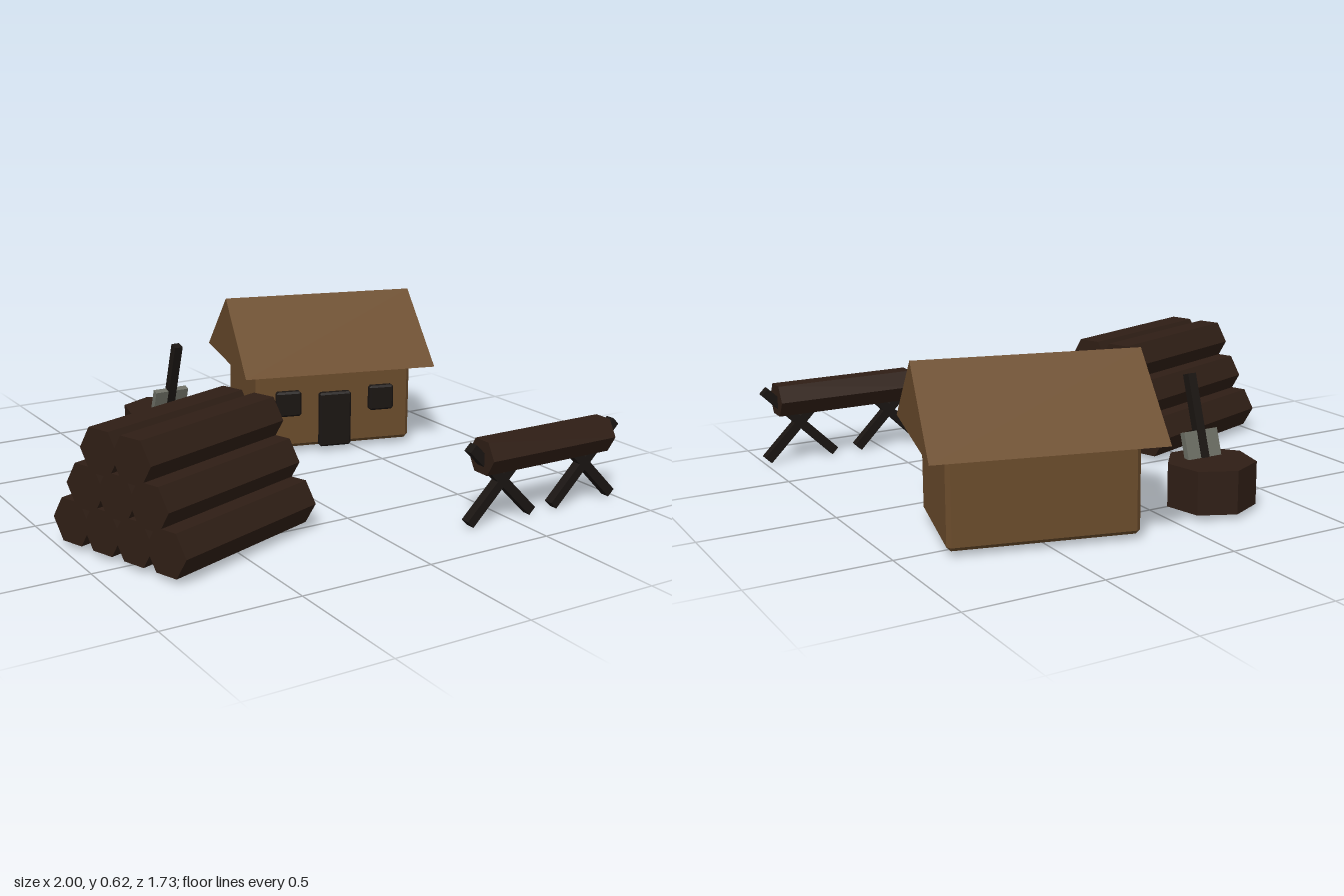
import * as THREE from 'three';
import { ConvexGeometry } from 'three/addons/geometries/ConvexGeometry.js';

const mat = (color) => new THREE.MeshStandardMaterial({ color, flatShading: true });
const BROWN = mat(0x6b4c2c), LOG = mat(0x2f1e15), DARK = mat(0x1a1512), STEEL = mat(0x6c6e64);

function add(parent, name, geometry, material, x = 0, y = 0, z = 0) {
  const mesh = new THREE.Mesh(geometry, material);
  mesh.name = name;
  mesh.position.set(x, y, z);
  parent.add(mesh);
  return mesh;
}

function subgroup(parent, name, x, z, turn = 0) {
  const g = new THREE.Group();
  g.name = name;
  g.position.set(x, 0, z);
  g.rotation.y = THREE.MathUtils.degToRad(turn);
  parent.add(g);
  return g;
}

// Box with all edges and corners cut by c
function chamferBox(w, h, d, c) {
  const pts = [];
  for (const sx of [-1, 1]) for (const sy of [-1, 1]) for (const sz of [-1, 1]) {
    for (let axis = 0; axis < 3; axis++) {
      const inset = [c, c, c];
      inset[axis] = 0;
      pts.push(new THREE.Vector3(sx * (w / 2 - inset[0]), sy * (h / 2 - inset[1]), sz * (d / 2 - inset[2])));
    }
  }
  return new ConvexGeometry(pts);
}

// Six-sided log lying along x, flat side up
const hexLog = (r, length) => new THREE.CylinderGeometry(r, r, length, 6).rotateZ(Math.PI / 2);

function buildCabin(parent) {
  const cabin = subgroup(parent, 'cabin', 0.4625, -0.441, -15);
  add(cabin, 'walls', chamferBox(0.664, 0.335, 0.466, 0.015), BROWN, 0, 0.1875, 0);

  // Gable roof: triangle extruded along the ridge
  const gable = new THREE.Shape();
  gable.moveTo(-0.331, 0.35);
  gable.lineTo(0.331, 0.35);
  gable.lineTo(0, 0.615);
  gable.closePath();
  const roof = new THREE.ExtrudeGeometry(gable, { depth: 0.802, bevelEnabled: false });
  roof.translate(0, 0, -0.401).rotateY(Math.PI / 2);
  add(cabin, 'roof', roof, BROWN);

  // Door and windows stand proud of the front wall
  add(cabin, 'door', chamferBox(0.135, 0.23, 0.05, 0.008), DARK, 0, 0.135, 0.235);
  for (const s of [-1, 1]) {
    add(cabin, 'window', chamferBox(0.105, 0.105, 0.05, 0.008), DARK, s * 0.2, 0.2125, 0.235);
  }
}

function buildLogPile(parent) {
  const pile = subgroup(parent, 'logPile', -0.582, 0.365, 20);
  const geometry = hexLog(0.09, 0.663);
  for (let row = 0; row < 3; row++) {
    const count = 4 - row;
    for (let i = 0; i < count; i++) {
      add(pile, 'log', geometry, LOG, 0, 0.099 + row * 0.139, (i - (count - 1) / 2) * 0.147);
    }
  }
}

function buildChoppingBlock(parent) {
  const block = subgroup(parent, 'choppingBlock', -0.204, -0.585);
  add(block, 'stump', new THREE.CylinderGeometry(0.165, 0.165, 0.16, 7, 1, false, Math.PI), LOG, 0, 0.1, 0);

  // Axe leaning forward out of the stump
  const axe = subgroup(block, 'axe', 0, 0.06);
  axe.position.y = 0.222;
  axe.rotation.x = THREE.MathUtils.degToRad(18);
  add(axe, 'axeHead', new THREE.BoxGeometry(0.145, 0.105, 0.026), STEEL);
  add(axe, 'axeHandle', new THREE.BoxGeometry(0.034, 0.32, 0.034), DARK, 0, 0.1, 0);
}

function buildSawhorse(parent) {
  const horse = subgroup(parent, 'sawhorse', 0.652, 0.79);
  add(horse, 'sawLog', hexLog(0.071, 0.57), LOG, 0, 0.254, 0);
  // Crossed legs near each end
  const leg = new THREE.BoxGeometry(0.036, 0.4, 0.036);
  for (const side of [-1, 1]) for (const lean of [-1, 1]) {
    add(horse, 'crossedLeg', leg, DARK, side * 0.193, 0.154, 0).rotation.z = lean * Math.PI / 4;
  }
}

export function createModel() {
  const model = new THREE.Group();
  model.name = 'woodcutterCamp';
  buildCabin(model);
  buildLogPile(model);
  buildChoppingBlock(model);
  buildSawhorse(model);
  return model;
}
